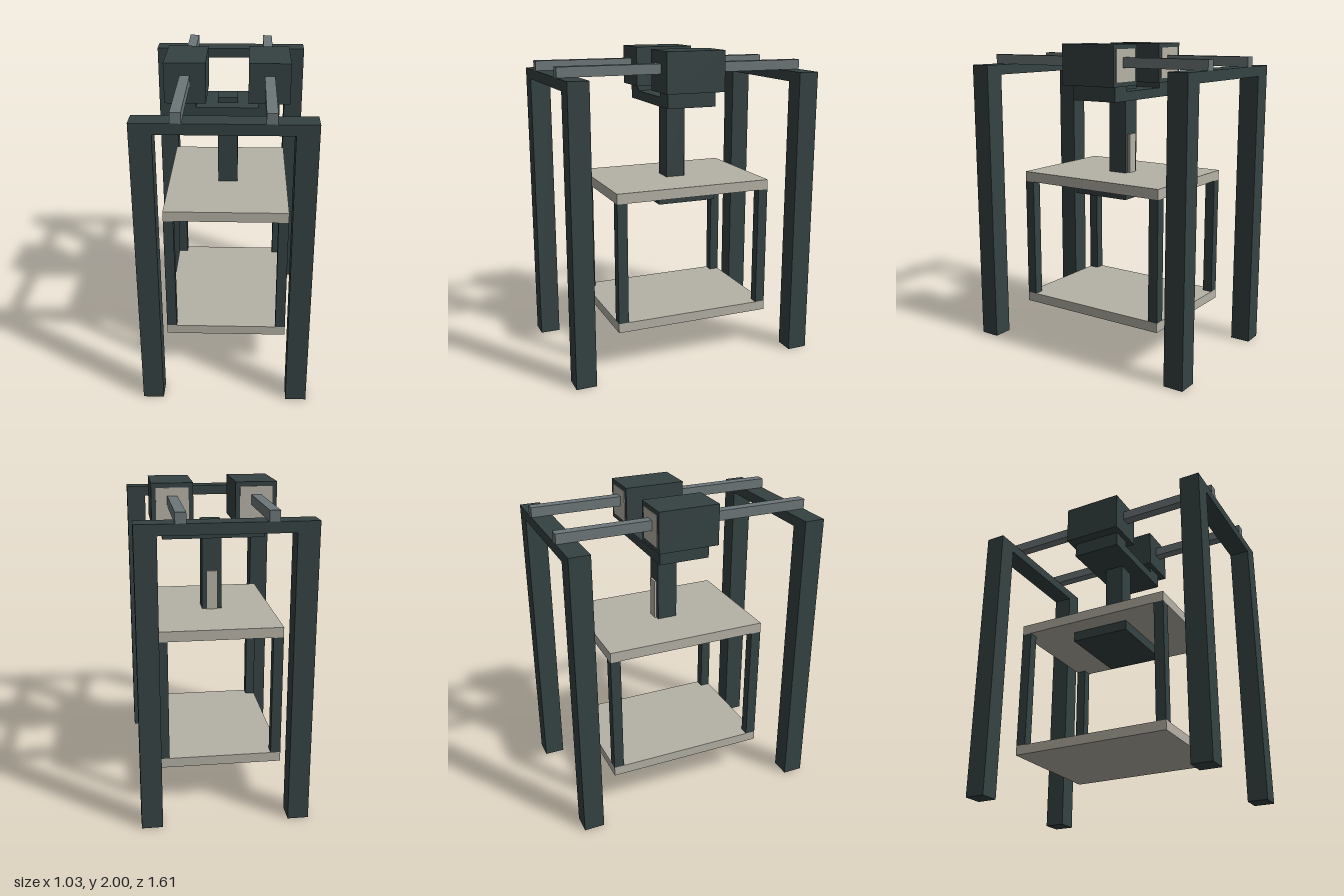
import * as THREE from 'three';

export function createModel() {
  const model = new THREE.Group();
  const material = (name, color) => {
    const m = new THREE.MeshStandardMaterial({ color });
    m.name = name;
    return m;
  };
  const dark = material('dark slate', 0x354242);
  const rail = material('rail grey', 0x6c7678);
  const tan = material('pale stone', 0xb5b1a6);

  // Box given by its lower and upper bounds on each axis
  const box = (name, mat, [x0, x1], [y0, y1], [z0, z1]) => {
    const mesh = new THREE.Mesh(new THREE.BoxGeometry(x1 - x0, y1 - y0, z1 - z0), mat);
    mesh.position.set((x0 + x1) / 2, (y0 + y1) / 2, (z0 + z1) / 2);
    mesh.name = name;
    model.add(mesh);
  };
  const mirror = (side, a, b) => (side > 0 ? [a, b] : [-b, -a]);

  // End frames: two legs joined by a beam
  for (const end of [1, -1]) {
    const z = mirror(end, 0.678, 0.807);
    for (const side of [1, -1]) box('leg', dark, mirror(side, 0.387, 0.515), [0, 1.86], z);
    box('topBeam', dark, [-0.387, 0.387], [1.795, 1.86], z);
  }

  for (const side of [1, -1]) {
    // Long rail and the carriage block riding on it
    box('rail', rail, mirror(side, 0.227, 0.289), [1.86, 1.922], [-0.807, 0.807]);
    const blockX = mirror(side, 0.13, 0.386);
    box('carriageBlock', dark, blockX, [1.746, 2], [-0.225, 0.161]);
    box('carriageBackPanel', tan, mirror(side, 0.158, 0.358), [1.774, 1.972], [-0.229, -0.224]);
    box('yokeLug', dark, mirror(side, 0.193, 0.321), [1.71, 1.746], [-0.193, 0.129]);
    // Corner posts between the shelves
    for (const z of [[0.421, 0.486], [-0.547, -0.483]])
      box('shelfPost', dark, mirror(side, 0.323, 0.386), [0.325, 1.1], z);
  }

  // Yoke, hanging column and clamp plate
  box('yokeBar', dark, [-0.321, 0.321], [1.65, 1.71], [-0.193, 0.129]);
  box('column', dark, [-0.063, 0.063], [1.1, 1.743], [-0.096, 0.032]);
  box('columnBackPlate', tan, [-0.035, 0.035], [1.165, 1.42], [-0.11, -0.096]);
  box('clampPlate', dark, [-0.257, 0.257], [1.036, 1.1], [-0.225, 0.161]);

  // Shelves
  box('upperShelf', tan, [-0.386, 0.386], [1.1, 1.165], [-0.547, 0.486]);
  box('lowerShelf', tan, [-0.386, 0.386], [0.264, 0.325], [-0.547, 0.486]);

  return model;
}
